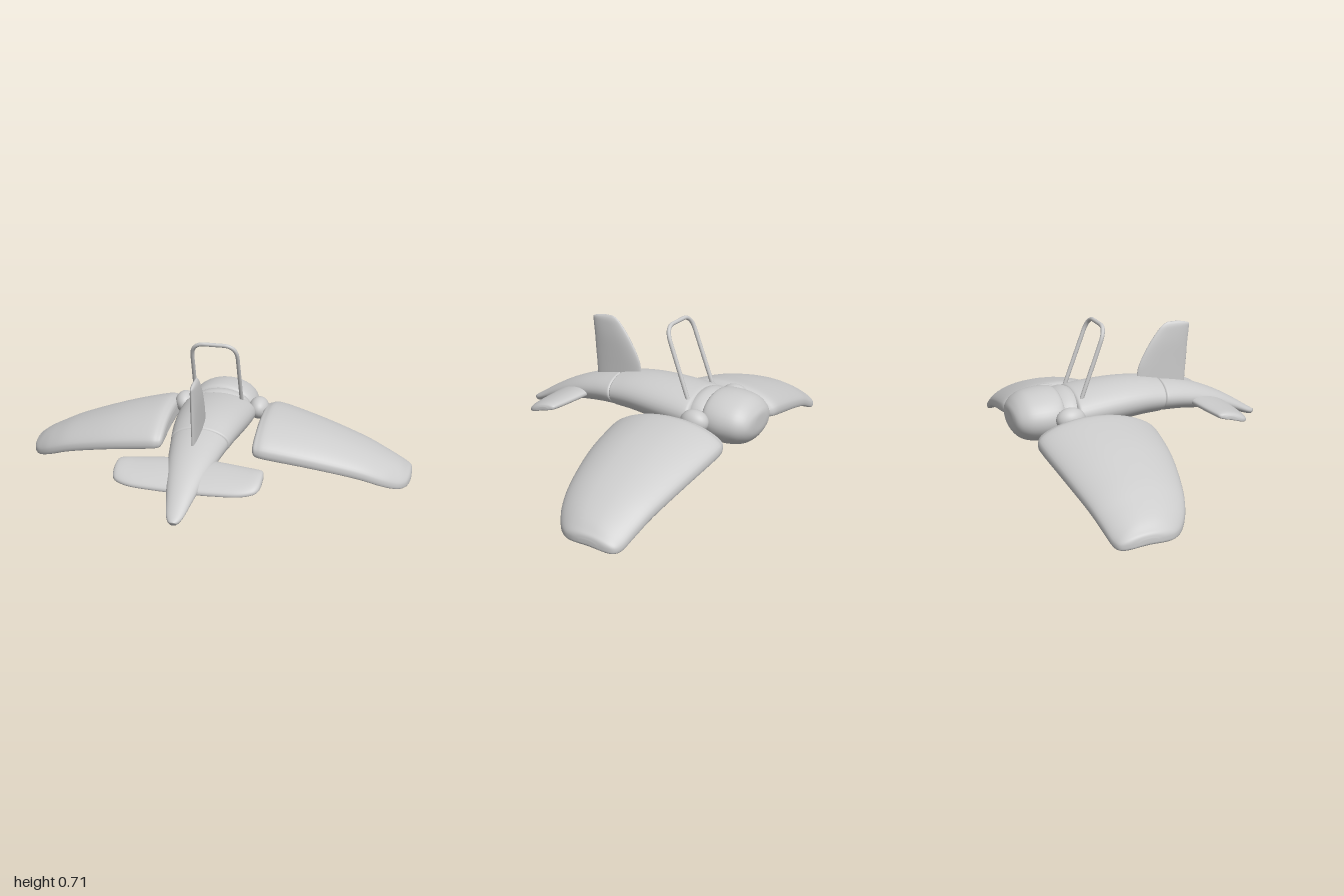
import * as THREE from 'three';

const mat = new THREE.MeshStandardMaterial({ color: 0xcccccc, side: THREE.DoubleSide });

// Smoothly interpolate the rows of a cross-section table
function refine(rows, steps) {
  const size = rows[0].length;
  const curve = new THREE.CubicInterpolant(rows.map((_, i) => i), rows.flat(), size, new Float32Array(size));
  const out = [];
  const n = (rows.length - 1) * steps;
  for (let i = 0; i <= n; i++) out.push(Array.from(curve.evaluate(i / steps)));
  return out;
}

// Skin a list of closed rings and cap both ends
function loft(name, rings) {
  const n = rings[0].length;
  const pos = [], idx = [];
  rings.forEach(r => r.forEach(p => pos.push(...p)));
  for (let i = 0; i < rings.length - 1; i++) {
    for (let j = 0; j < n; j++) {
      const a = i * n + j, b = i * n + (j + 1) % n;
      idx.push(a, b, b + n, a, b + n, a + n);
    }
  }
  [0, rings.length - 1].forEach((row, end) => {
    const c = pos.length / 3;
    for (let k = 0; k < 3; k++) pos.push(rings[row].reduce((s, p) => s + p[k], 0) / n);
    for (let j = 0; j < n; j++) {
      const a = row * n + j, b = row * n + (j + 1) % n;
      if (end) idx.push(a, b, c); else idx.push(b, a, c);
    }
  });
  const geo = new THREE.BufferGeometry();
  geo.setAttribute('position', new THREE.Float32BufferAttribute(pos, 3));
  geo.setIndex(idx);
  geo.computeVertexNormals();
  const mesh = new THREE.Mesh(geo, mat);
  mesh.name = name;
  return mesh;
}

const ring = (n, f) => Array.from({ length: n }, (_, j) => {
  const a = (j / n) * Math.PI * 2;
  return f(Math.cos(a), Math.sin(a));
});
const soft = (v, p) => Math.sign(v) * Math.abs(v) ** p;

// Rows: z, half width, top, bottom; lean tips each section towards the tail
function body(name, lean, rows) {
  return loft(name, refine(rows, 4).map(([z, w, top, bottom]) =>
    ring(40, (c, s) => [w * c, (top + bottom) / 2 + (top - bottom) / 2 * s, z + lean * s])));
}

// Rows: x, front z, rear z, edge height, camber, half thickness, slope; blunt below 1 squares the edges
function wing(name, rows, side, blunt) {
  const rings = refine(rows, 5).map(([x, z0, z1, y, camber, h, slope]) =>
    ring(48, (c, s) => {
      const u = soft(s, blunt), dz = (z1 - z0) / 2 * u;
      return [side * x, y + camber * (1 - u * u) + h * soft(c, blunt * 0.9) + slope * dz, (z0 + z1) / 2 + dz];
    }));
  if (side < 0) rings.reverse();
  return loft(name, rings);
}

export function createModel() {
  const model = new THREE.Group();
  model.name = 'glider';

  // Nose, neck, fuselage and tapering tail
  model.add(body('nose', 0, [
    [-0.649, 0.03, 0.312, 0.272], [-0.647, 0.07, 0.335, 0.25], [-0.638, 0.112, 0.354, 0.226],
    [-0.615, 0.142, 0.38, 0.198], [-0.575, 0.165, 0.403, 0.178], [-0.51, 0.177, 0.414, 0.17],
    [-0.45, 0.173, 0.414, 0.178], [-0.42, 0.155, 0.405, 0.2], [-0.405, 0.12, 0.38, 0.23],
  ]));
  model.add(body('neck', 0, [
    [-0.44, 0.14, 0.385, 0.22], [-0.41, 0.155, 0.4, 0.21], [-0.37, 0.16, 0.405, 0.21], [-0.33, 0.15, 0.39, 0.22],
  ]));
  model.add(body('fuselage', 0.01, [
    [-0.365, 0.16, 0.375, 0.225], [-0.358, 0.182, 0.395, 0.212], [-0.333, 0.189, 0.405, 0.205],
    [-0.22, 0.183, 0.417, 0.21], [-0.1, 0.172, 0.42, 0.222], [0.0, 0.159, 0.413, 0.232],
    [0.08, 0.147, 0.399, 0.235], [0.097, 0.143, 0.394, 0.238], [0.103, 0.128, 0.383, 0.25],
  ]));
  model.add(body('tail', 0.01, [
    [0.1, 0.125, 0.38, 0.25], [0.107, 0.137, 0.391, 0.24], [0.125, 0.138, 0.389, 0.237],
    [0.2, 0.126, 0.374, 0.233], [0.3, 0.109, 0.345, 0.222], [0.4, 0.088, 0.303, 0.205],
    [0.5, 0.065, 0.248, 0.181], [0.59, 0.043, 0.19, 0.152], [0.625, 0.028, 0.168, 0.14],
    [0.638, 0.015, 0.159, 0.136],
  ]));

  for (const [label, side] of [['left', 1], ['right', -1]]) {
    // Large drooping wings
    model.add(wing(label + 'Wing', [
      [0.226, -0.555, -0.06, 0.242, 0.035, 0.022, -0.03], [0.232, -0.575, -0.035, 0.235, 0.046, 0.04, -0.03],
      [0.25, -0.586, -0.022, 0.228, 0.053, 0.052, -0.03], [0.31, -0.596, -0.018, 0.222, 0.055, 0.06, -0.03],
      [0.52, -0.568, -0.042, 0.178, 0.055, 0.057, 0], [0.74, -0.533, -0.092, 0.118, 0.045, 0.052, 0.02],
      [0.86, -0.513, -0.134, 0.069, 0.042, 0.048, 0.03], [0.935, -0.5, -0.182, 0.036, 0.04, 0.041, 0.04],
      [0.975, -0.484, -0.228, 0.03, 0.022, 0.033, 0.04], [0.992, -0.45, -0.275, 0.034, 0.012, 0.024, 0.04],
      [0.998, -0.4, -0.32, 0.037, 0.004, 0.01, 0.04],
    ], side, 0.75));

    // Tailplane
    model.add(wing(label + 'Tailplane', [
      [0.04, 0.24, 0.468, 0.252, 0.014, 0.026, -0.27], [0.14, 0.25, 0.466, 0.252, 0.014, 0.025, -0.27],
      [0.25, 0.266, 0.459, 0.252, 0.012, 0.023, -0.27], [0.315, 0.277, 0.44, 0.255, 0.01, 0.021, -0.27],
      [0.342, 0.287, 0.415, 0.258, 0.008, 0.016, -0.27], [0.351, 0.318, 0.38, 0.259, 0.004, 0.008, -0.27],
    ], side, 0.85));

    // Ball joint between fuselage and wing
    const joint = new THREE.Mesh(new THREE.SphereGeometry(1, 32, 20), mat);
    joint.name = label + 'WingJoint';
    joint.scale.set(0.052, 0.056, 0.07);
    joint.position.set(side * 0.196, 0.31, -0.408);
    model.add(joint);
  }

  // Upright fin; rows: y, front z, rear z, half thickness
  const fin = refine([
    [0.33, 0.0, 0.255, 0.015], [0.42, 0.004, 0.261, 0.016], [0.48, 0.02, 0.266, 0.017],
    [0.565, 0.067, 0.272, 0.018], [0.63, 0.115, 0.279, 0.015], [0.655, 0.14, 0.276, 0.011],
    [0.668, 0.165, 0.225, 0.004],
  ], 5);
  model.add(loft('fin', fin.map(([y, z0, z1, h]) =>
    ring(32, (c, s) => [h * s, y, (z0 + z1) / 2 + (z1 - z0) / 2 * soft(c, 0.85)]))));

  // Leaning hoop handle, drawn flat and tilted at its foot
  const path = new THREE.CurvePath();
  const v = (x, y) => new THREE.Vector3(x, 0.37 + y * 0.935, -0.329 + y * 0.355);
  path.add(new THREE.LineCurve3(v(-0.119, 0), v(-0.115, 0.285)));
  path.add(new THREE.QuadraticBezierCurve3(v(-0.115, 0.285), v(-0.113, 0.352), v(-0.055, 0.358)));
  path.add(new THREE.LineCurve3(v(-0.055, 0.358), v(0.055, 0.358)));
  path.add(new THREE.QuadraticBezierCurve3(v(0.055, 0.358), v(0.113, 0.352), v(0.115, 0.285)));
  path.add(new THREE.LineCurve3(v(0.115, 0.285), v(0.119, 0)));
  const hoop = new THREE.Mesh(new THREE.TubeGeometry(path, 90, 0.01, 12), mat);
  hoop.name = 'hoopHandle';
  model.add(hoop);

  return model;
}
